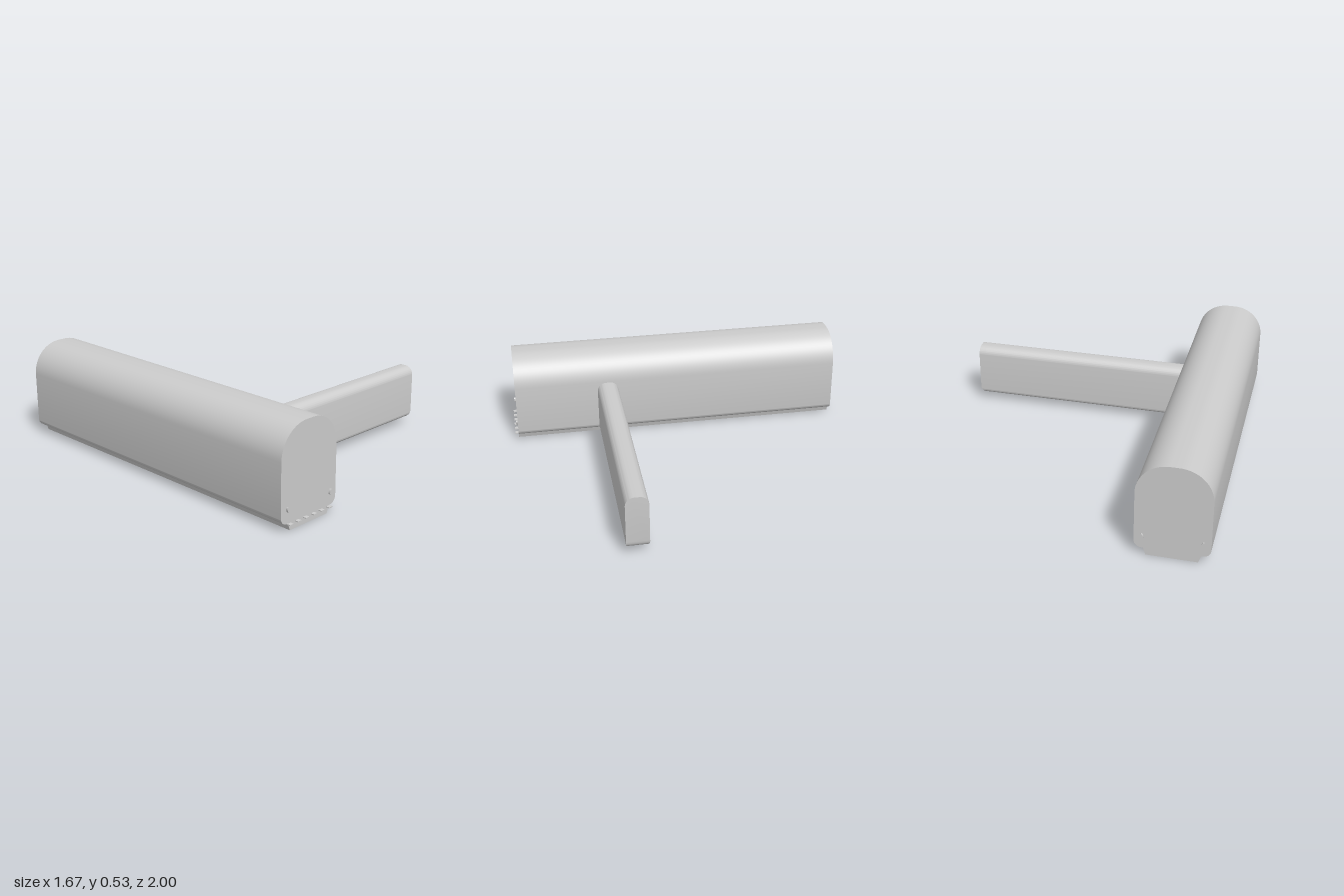
import * as THREE from 'three';
import { toCreasedNormals } from 'three/addons/utils/BufferGeometryUtils.js';

const grey = new THREE.MeshStandardMaterial({ color: 0xcccccc });
const CX = -0.64, BACK = -0.99, FRONT = 0.98;

// Upright outline centred on x = 0 with separate top and bottom corner radii
function roundedOutline(halfWidth, y0, y1, rTop, rBottom) {
  const s = new THREE.Shape();
  s.moveTo(-halfWidth + rBottom, y0);
  s.lineTo(halfWidth - rBottom, y0);
  s.absarc(halfWidth - rBottom, y0 + rBottom, rBottom, -Math.PI / 2, 0);
  s.lineTo(halfWidth, y1 - rTop);
  s.absarc(halfWidth - rTop, y1 - rTop, rTop, 0, Math.PI / 2);
  s.lineTo(-halfWidth + rTop, y1);
  s.absarc(-halfWidth + rTop, y1 - rTop, rTop, Math.PI / 2, Math.PI);
  s.lineTo(-halfWidth, y0 + rBottom);
  s.absarc(-halfWidth + rBottom, y0 + rBottom, rBottom, Math.PI, Math.PI * 1.5);
  return s;
}

function addMesh(parent, name, geometry, x = 0, y = 0, z = 0) {
  const mesh = new THREE.Mesh(geometry, grey);
  mesh.name = name;
  mesh.position.set(x, y, z);
  parent.add(mesh);
  return mesh;
}

function extrude(shape, depth, steps = 1) {
  return new THREE.ExtrudeGeometry(shape, { depth, steps, curveSegments: 8, bevelEnabled: false });
}

// Side arm: a rounded bar whose lower edge curves up at the free end
function armGeometry() {
  const x0 = -0.46, x1 = 0.835, y0 = 0.045, r = 0.04, steps = 8;
  const g = extrude(roundedOutline(0.0625, y0, 0.355, 0.05, 0.025), 1, steps);
  const p = g.attributes.position;
  for (let i = 0; i < p.count; i++) {
    const k = Math.round(p.getZ(i) * steps);
    const a = k === 0 ? 0 : ((k - 1) / (steps - 1)) * Math.PI / 2;
    const x = k === 0 ? x0 : x1 - r + r * Math.sin(a);
    const floor = y0 + r * (1 - Math.cos(a));
    p.setXYZ(i, x, Math.max(p.getY(i), floor), -p.getX(i));
  }
  return toCreasedNormals(g, 0.6);
}

export function createModel() {
  const model = new THREE.Group();
  model.name = 'housingWithArm';

  // Long housing with a domed top
  const body = extrude(roundedOutline(0.195, 0.04, 0.532, 0.172, 0.04), FRONT - BACK);
  addMesh(model, 'housing', toCreasedNormals(body, 0.6), CX, 0, BACK);

  // Tapered strip under the housing
  const strip = new THREE.Shape();
  strip.moveTo(-0.133, 0);
  strip.lineTo(0.133, 0);
  strip.lineTo(0.146, 0.04);
  strip.lineTo(-0.146, 0.04);
  strip.closePath();
  addMesh(model, 'baseStrip', extrude(strip, FRONT - BACK), CX, 0, BACK);

  // Small teeth along the front edge of the strip
  const teeth = new THREE.Group();
  teeth.name = 'frontTeeth';
  model.add(teeth);
  for (let i = 0; i < 6; i++) {
    addMesh(teeth, 'tooth', new THREE.BoxGeometry(0.024, 0.005, 0.03), CX - 0.14 + i * 0.056, 0.0365, 0.985);
  }

  // Side arm
  addMesh(model, 'arm', armGeometry(), 0, 0, 0.423);

  // Oval screw heads on both ends
  for (const z of [BACK - 0.002, FRONT + 0.002]) {
    for (const side of [-1, 1]) {
      const g = new THREE.CylinderGeometry(0.015, 0.015, 0.016, 16);
      g.rotateX(Math.PI / 2);
      g.scale(0.45, 1, 1);
      g.rotateZ(-side * 0.25);
      addMesh(model, 'screwHead', g, CX + side * 0.152, 0.112, z);
    }
  }
  return model;
}
